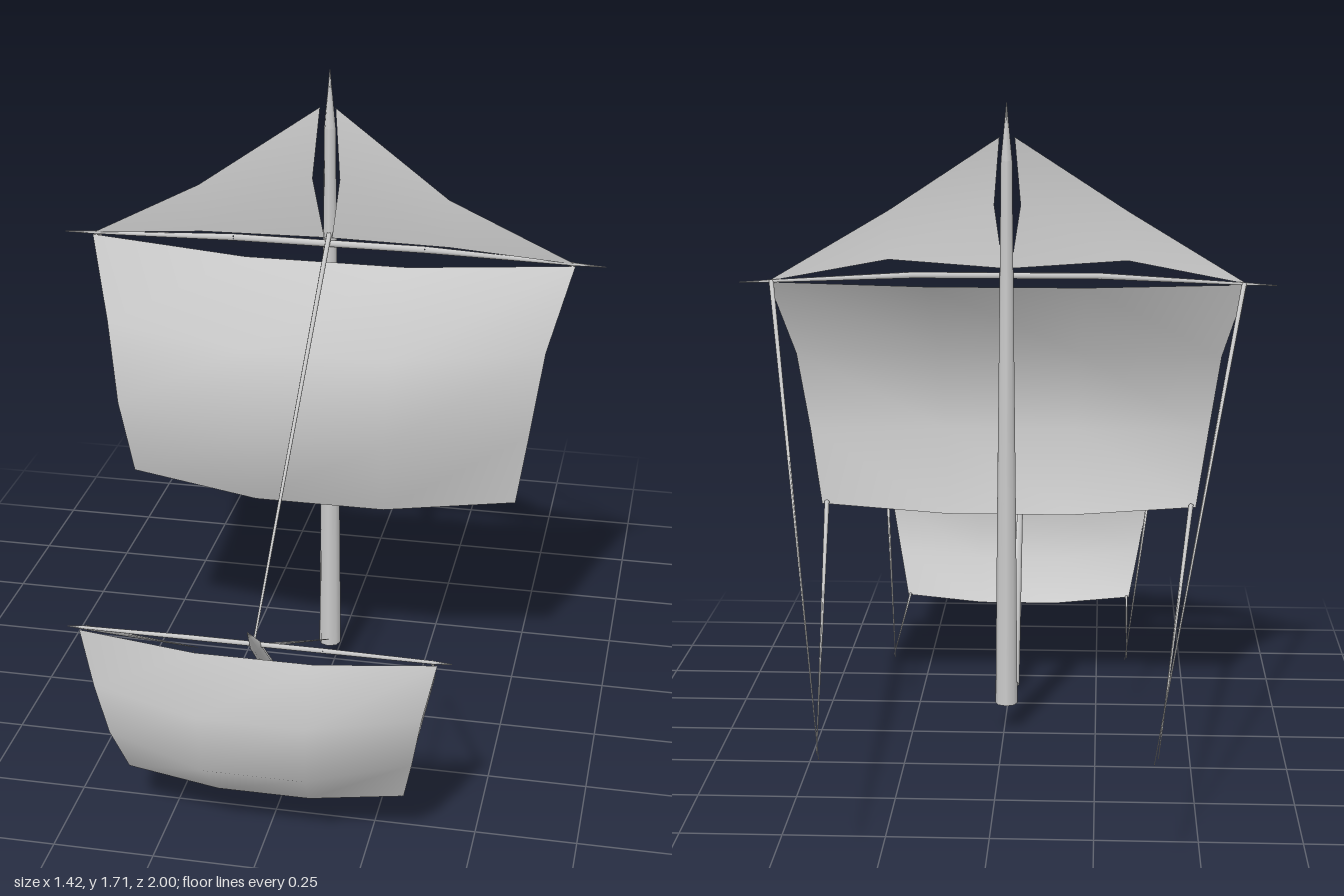
import * as THREE from 'three';

const material = new THREE.MeshStandardMaterial({ color: 0xcccccc });
const cloth = new THREE.MeshStandardMaterial({ color: 0xcccccc, side: THREE.DoubleSide });
const UP = new THREE.Vector3(0, 1, 0);

// Tapered round pole along a list of [x, y, z, radius] stations
function pole(name, stations, sides) {
  const group = new THREE.Group();
  group.name = name;
  for (let i = 0; i < stations.length - 1; i++) {
    const [a, b] = [stations[i], stations[i + 1]];
    const start = new THREE.Vector3(a[0], a[1], a[2]);
    const end = new THREE.Vector3(b[0], b[1], b[2]);
    const dir = end.clone().sub(start);
    const open = i > 0 && i < stations.length - 2;
    const geo = new THREE.CylinderGeometry(b[3], a[3], dir.length(), sides, 1, open);
    const mesh = new THREE.Mesh(geo, material);
    mesh.name = name + 'Section';
    mesh.position.copy(start).add(end).multiplyScalar(0.5);
    mesh.quaternion.setFromUnitVectors(UP, dir.normalize());
    group.add(mesh);
  }
  return group;
}

// Thin cloth from points and triangle indices
function clothMesh(name, points, index) {
  const geo = new THREE.BufferGeometry();
  geo.setAttribute('position', new THREE.Float32BufferAttribute(points.flat(), 3));
  geo.setIndex(index);
  geo.computeVertexNormals();
  const mesh = new THREE.Mesh(geo, cloth);
  mesh.name = name;
  return mesh;
}

// Bellied square sail; each row is [half width, edge y, edge z, middle y, middle z]
function squareSail(name, rows) {
  const points = [], index = [];
  rows.forEach(([w, ey, ez, my, mz], r) => {
    points.push([-w, ey, ez], [-w / 3, my, mz], [w / 3, my, mz], [w, ey, ez]);
    if (r === 0) return;
    for (let c = 0; c < 3; c++) {
      const a = (r - 1) * 4 + c, b = r * 4 + c;
      index.push(a, b, a + 1, b, b + 1, a + 1);
    }
  });
  return clothMesh(name, points, index);
}

// Triangular topsail on one side of the mast (side = 1 or -1)
function topsail(name, side) {
  const points = [
    [0.02, 1.62, 0.058],    // head
    [0.035, 1.44, 0.08],    // middle of inner edge
    [0.32, 1.42, 0.125],    // middle of outer edge
    [0.01, 1.275, 0.055],   // inner foot
    [0.32, 1.29, 0.11],     // middle of foot
    [0.633, 1.24, 0.035],   // outer foot
  ].map(([x, y, z]) => [x * side, y, z]);
  const index = [0, 1, 2, 1, 3, 4, 1, 4, 2, 2, 4, 5];
  return clothMesh(name, points, side > 0 ? index : index.slice().reverse());
}

export function createModel() {
  const model = new THREE.Group();
  model.name = 'sailRig';
  const rig = new THREE.Group();
  rig.name = 'rig';
  rig.position.x = -0.006;
  model.add(rig);

  // Mast and slanting bowsprit
  rig.add(pole('mast', [
    [0, 0.08, 0.031, 0.03], [0, 0.65, 0.031, 0.025],
    [0, 1.25, 0.031, 0.018], [0, 1.56, 0.031, 0.015], [0, 1.71, 0.031, 0.001],
  ], 8));
  rig.add(pole('bowsprit', [
    [0, 0.02, 0.37, 0.022], [0, 0.575, 0.925, 0.014], [0, 0.65, 1.0, 0.001],
  ], 8));

  // Yards, slightly bowed and tapering to points
  rig.add(pole('mainYard', [
    [-0.71, 1.237, 0.032, 0.001], [-0.633, 1.24, 0.034, 0.004], [-0.25, 1.257, 0.047, 0.009],
    [0.25, 1.257, 0.047, 0.009], [0.633, 1.24, 0.034, 0.004], [0.71, 1.237, 0.032, 0.001],
  ], 6));
  rig.add(pole('foreYard', [
    [-0.46, 0.566, 0.91, 0.001], [-0.42, 0.567, 0.911, 0.004], [-0.16, 0.573, 0.918, 0.006],
    [0.16, 0.573, 0.918, 0.006], [0.42, 0.567, 0.911, 0.004], [0.46, 0.566, 0.91, 0.001],
  ], 6));

  // Square sails
  rig.add(squareSail('mainSail', [
    [0.633, 1.237, 0.04, 1.22, 0.085],
    [0.575, 1.03, 0.13, 1.02, 0.23],
    [0.545, 0.815, 0.165, 0.8, 0.265],
    [0.513, 0.61, 0.14, 0.575, 0.178],
  ]));
  rig.add(squareSail('foreSail', [
    [0.428, 0.565, 0.92, 0.546, 0.94],
    [0.395, 0.42, 0.93, 0.4, 0.99],
    [0.37, 0.28, 0.905, 0.24, 0.965],
    [0.342, 0.15, 0.845, 0.123, 0.86],
  ]));

  // Paired topsails, braces and sheets
  for (const side of [1, -1]) {
    const label = side > 0 ? 'left' : 'right';
    rig.add(topsail(label + 'Topsail', side));
    const rope = (name, a, b, radius) => rig.add(pole(label + name, [
      [a[0] * side, a[1], a[2], radius], [b[0] * side, b[1], b[2], 0.001],
    ], 5));
    rope('MainBrace', [0.625, 1.24, 0.034], [0.38, 0.29, -1.0], 0.007);
    rope('MainSheet', [0.5, 0.615, 0.14], [0.39, 0.29, -0.96], 0.007);
    rope('ForeBrace', [0.415, 0.567, 0.911], [0.325, 0.14, 0.24], 0.006);
    rope('ForeSheet', [0.335, 0.152, 0.845], [0.33, 0.14, 0.26], 0.004);
  }

  // Stays between mast and bowsprit
  rig.add(pole('forestay', [[0, 1.285, 0.04, 0.007], [0, 0.59, 0.935, 0.003]], 5));
  rig.add(pole('lowerStay', [[0, 0.57, 0.92, 0.005], [0, 0.1, 0.06, 0.001]], 5));

  return model;
}
